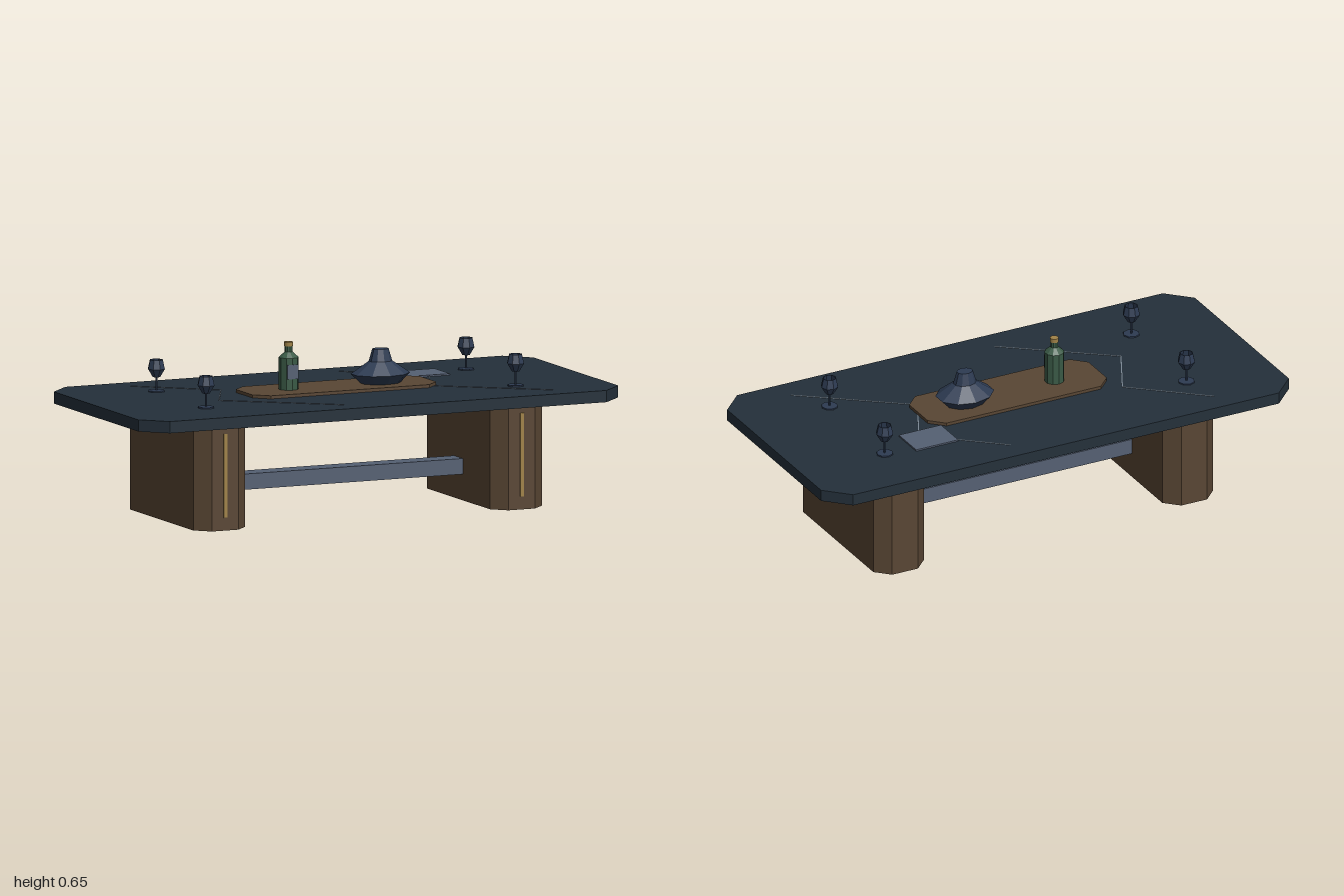
import * as THREE from 'three';

const mat = (name, color) => {
  const m = new THREE.MeshStandardMaterial({ color });
  m.name = name;
  return m;
};

export function createModel() {
  const slate = mat('dark slate', 0x24303a);
  const wood = mat('brown wood', 0x594634);
  const steel = mat('grey blue', 0x556073);
  const brass = mat('brass', 0xa08248);
  const green = mat('bottle green', 0x3a5a46);
  const navy = mat('navy glass', 0x2d3b52);
  const vein = mat('pale vein', 0x7c8894);

  const model = new THREE.Group();
  model.name = 'diningTable';

  const add = (name, geometry, material, x = 0, y = 0, z = 0, parent = model) => {
    const mesh = new THREE.Mesh(geometry, material);
    mesh.name = name;
    mesh.position.set(x, y, z);
    parent.add(mesh);
    return mesh;
  };
  const box = (w, h, d) => new THREE.BoxGeometry(w, h, d);

  // Flat slab with cut corners, standing on its own y = 0
  const slab = (hx, hz, cut, height) => {
    const s = new THREE.Shape();
    s.moveTo(-hx + cut, -hz).lineTo(hx - cut, -hz).lineTo(hx, -hz + cut).lineTo(hx, hz - cut);
    s.lineTo(hx - cut, hz).lineTo(-hx + cut, hz).lineTo(-hx, hz - cut).lineTo(-hx, -hz + cut);
    return new THREE.ExtrudeGeometry(s, { depth: height, bevelEnabled: false }).rotateX(-Math.PI / 2);
  };

  // Faceted turned shape from [radius, height] pairs
  const turned = (profile, sides) => {
    const g = new THREE.LatheGeometry(profile.map(p => new THREE.Vector2(...p)), sides).toNonIndexed();
    g.computeVertexNormals();
    return g;
  };

  // Table
  add('tableTop', slab(1, 0.47, 0.09, 0.045), slate, 0, 0.41);
  for (const side of [-1, 1]) {
    const label = side > 0 ? 'left' : 'right';
    add(label + 'Leg', slab(0.108, 0.337, 0.053, 0.41), wood, side * 0.618);
    add(label + 'LegInlay', box(0.015, 0.32, 0.006), brass, side * 0.618, 0.21, 0.338);
  }
  add('stretcher', box(1.03, 0.06, 0.08), steel, 0, 0.13);

  // Zigzag veins on the table top
  const zigzag = [[-0.68, -0.38], [-0.41, -0.15], [-0.525, 0.08], [-0.14, 0.375]];
  for (const shift of [0, 0.87]) {
    for (let i = 0; i < 3; i++) {
      const [x0, z0] = zigzag[i], [x1, z1] = zigzag[i + 1];
      const strip = add('vein', box(Math.hypot(x1 - x0, z1 - z0), 0.002, 0.004), vein,
        (x0 + x1) / 2 + shift, 0.4555, (z0 + z1) / 2);
      strip.rotation.y = -Math.atan2(z1 - z0, x1 - x0);
    }
  }

  // Serving board and mat
  add('servingBoard', slab(0.383, 0.127, 0.053, 0.012), wood, 0, 0.455);
  add('placeMat', box(0.18, 0.006, 0.14), steel, 0.44, 0.458, -0.19);

  // Bottle
  const bottle = new THREE.Group();
  bottle.name = 'bottle';
  bottle.position.set(-0.198, 0.467, 0);
  model.add(bottle);
  add('bottleBody', turned([[0, 0], [0.038, 0], [0.038, 0.122], [0.015, 0.143], [0.015, 0.167], [0, 0.167]], 10),
    green, 0, 0, 0, bottle);
  add('bottleCap', new THREE.CylinderGeometry(0.017, 0.017, 0.016, 10), brass, 0, 0.173, 0, bottle);
  add('bottleLabel', box(0.046, 0.055, 0.004), steel, 0.001, 0.07, 0.037, bottle);

  // Decanter, slightly flattened front to back
  const decanter = add('decanter', turned(
    [[0, 0], [0.08, 0], [0.116, 0.036], [0.046, 0.083], [0.032, 0.13], [0, 0.13]], 10), navy, 0.185, 0.467);
  decanter.scale.z = 0.8;

  // Goblets with hollow bowls
  const goblet = turned([[0, 0], [0.032, 0], [0.032, 0.005], [0.004, 0.006], [0.004, 0.054], [0.015, 0.056],
    [0.034, 0.087], [0.026, 0.122], [0.023, 0.122], [0.03, 0.087], [0.012, 0.06], [0, 0.06]], 8);
  for (const x of [-0.645, 0.645]) {
    for (const z of [-0.223, 0.223]) add('goblet', goblet, navy, x, 0.455, z);
  }
  return model;
}
